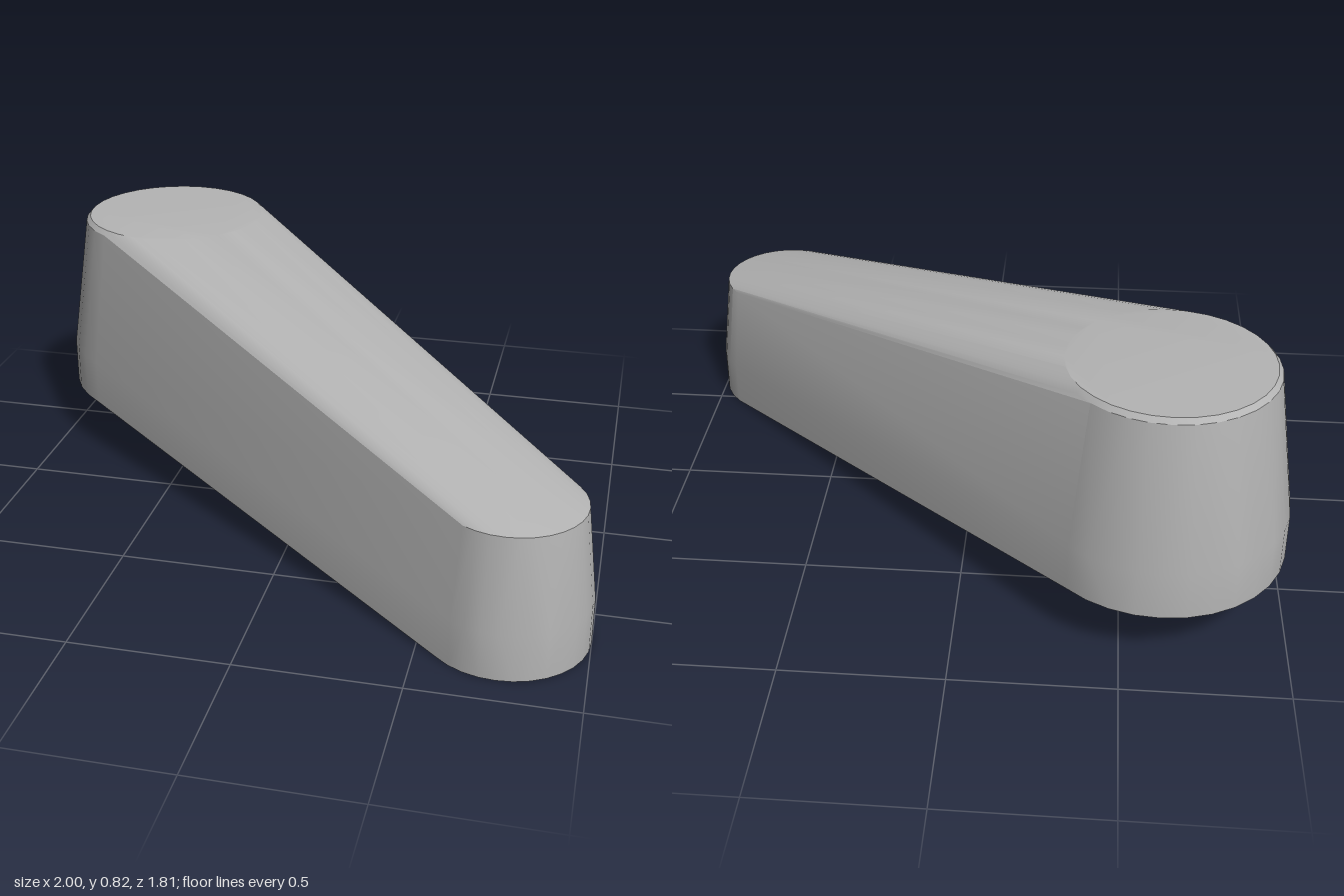
import * as THREE from 'three';
import { ConvexGeometry } from 'three/addons/geometries/ConvexGeometry.js';
import { toCreasedNormals } from 'three/addons/utils/BufferGeometryUtils.js';

const SIDES = 32;

// Rings of points around an upright axis; each ring is [radius, height]
function roundEnd(x, z, rings) {
  const points = [];
  for (const [radius, y] of rings) {
    for (let i = 0; i < SIDES; i++) {
      const a = (i / SIDES) * Math.PI * 2;
      points.push(new THREE.Vector3(x + radius * Math.cos(a), y, z + radius * Math.sin(a)));
    }
  }
  return points;
}

export function createModel() {
  const group = new THREE.Group();
  group.name = 'taperedArm';

  const grey = new THREE.MeshStandardMaterial({ color: 0xb4b4b4 });
  grey.name = 'grey';

  // Tall wide end: straight foot, tapered wall, small bevel round the top
  const wideEnd = roundEnd(-0.612, -0.52, [[0.388, 0.195], [0.388, 0.35], [0.322, 0.81], [0.308, 0.825]]);
  // Low narrow end
  const narrowEnd = roundEnd(0.747, 0.652, [[0.253, 0], [0.253, 0.15], [0.217, 0.445]]);

  // One skin stretched over both ends
  const skin = new ConvexGeometry([...wideEnd, ...narrowEnd]);
  const body = new THREE.Mesh(toCreasedNormals(skin, 0.4), grey);
  body.name = 'armBody';
  group.add(body);

  return group;
}
